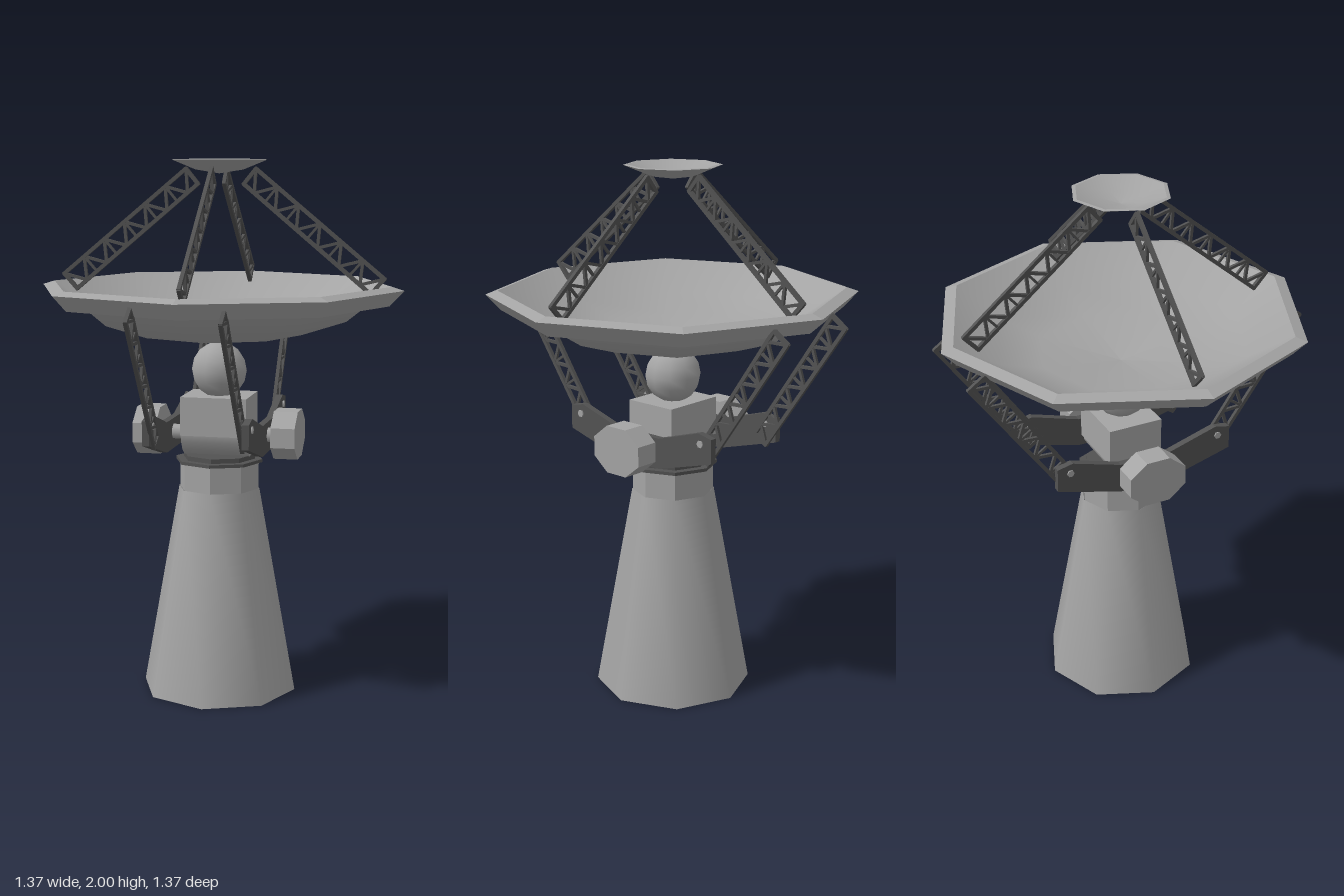
import * as THREE from 'three';
import { mergeGeometries } from 'three/addons/utils/BufferGeometryUtils.js';

const light = new THREE.MeshStandardMaterial({ color: 0xa4a4a4, side: THREE.DoubleSide });
light.name = 'light grey';
const dark = new THREE.MeshStandardMaterial({ color: 0x525252 });
dark.name = 'dark grey';

// Gives every face its own flat normal
function facet(geometry) {
  const g = geometry.index ? geometry.toNonIndexed() : geometry;
  g.computeVertexNormals();
  return g;
}

// Eight-sided revolved surface, profile as [radius, height] pairs
function lathe(profile) {
  return new THREE.LatheGeometry(profile.map(([r, y]) => new THREE.Vector2(r, y)), 8);
}

// Square bar between two points of the XY plane
function bar(a, b, thick) {
  const g = new THREE.BoxGeometry(a.distanceTo(b) + thick * 0.6, thick, thick);
  g.rotateZ(Math.atan2(b.y - a.y, b.x - a.x));
  g.translate((a.x + b.x) / 2, (a.y + b.y) / 2, 0);
  return g;
}

// Flat lattice girder: two rails, end caps and a zigzag web
function trussGeometry(a0, a1, b0, b1, bays) {
  const [p0, p1, q0, q1] = [a0, a1, b0, b1].map(([x, y]) => new THREE.Vector2(x, y));
  const bars = [bar(p0, p1, 0.014), bar(q0, q1, 0.014), bar(p0, q0, 0.014), bar(p1, q1, 0.014)];
  for (let i = 0; i < bays; i++) {
    const p = p0.clone().lerp(p1, i / bays);
    const mid = q0.clone().lerp(q1, (i + 0.5) / bays);
    bars.push(bar(p, mid, 0.011), bar(mid, p0.clone().lerp(p1, (i + 1) / bays), 0.011));
    if (i > 0) bars.push(bar(p, q0.clone().lerp(q1, i / bays), 0.009));
  }
  return mergeGeometries(bars);
}

export function createModel() {
  const model = new THREE.Group();
  const add = (name, geometry, material, x = 0, y = 0, z = 0) => {
    const mesh = new THREE.Mesh(geometry, material);
    mesh.name = name;
    mesh.position.set(x, y, z);
    model.add(mesh);
    return mesh;
  };

  // Hollow tapering tower, faceted collar and turntable
  add('tower', lathe([[0.295, 0], [0.155, 0.78]]), light);
  add('collar', facet(new THREE.CylinderGeometry(0.152, 0.152, 0.105, 8)), light, 0, 0.83);
  add('turntable', facet(new THREE.CylinderGeometry(0.166, 0.166, 0.012, 8)), dark, 0, 0.886);
  add('turntableRing', facet(new THREE.CylinderGeometry(0.137, 0.137, 0.018, 8)), dark, 0, 0.9);

  // Gearbox: rounded drum with a box on top
  const drum = new THREE.CylinderGeometry(0.1, 0.1, 0.25, 16);
  drum.rotateZ(Math.PI / 2);
  add('gearDrum', drum, light, 0, 1);
  add('gearBox', new THREE.BoxGeometry(0.25, 0.145, 0.21), light, 0, 1.06);
  add('ballJoint', new THREE.SphereGeometry(0.105, 10, 8), light, 0, 1.225);

  // Axle and octagonal counterweights at both ends
  const axle = new THREE.CylinderGeometry(0.028, 0.028, 0.46, 8);
  axle.rotateZ(Math.PI / 2);
  add('axle', axle, light, 0, 0.985);
  const weight = new THREE.CylinderGeometry(0.096, 0.096, 0.09, 8);
  weight.rotateY(Math.PI / 8);
  weight.rotateZ(Math.PI / 2);
  weight.scale(1, 1, 1.25);
  for (const side of [-1, 1]) add('counterweight', facet(weight.clone()), light, side * 0.262, 0.993);

  // V-shaped cradle arms with pins, profile drawn as [z, y]
  const half = [[0.1, 0.92], [0.35, 0.99], [0.35, 1.08], [0.29, 1.093], [0.1, 1.035]];
  const outline = [...half, ...half.map(([z, y]) => [-z, y]).reverse()];
  const armShape = new THREE.Shape(outline.map(([z, y]) => new THREE.Vector2(z, y)));
  const armGeometry = new THREE.ExtrudeGeometry(armShape, { depth: 0.026, bevelEnabled: false });
  armGeometry.translate(0, 0, -0.013);
  armGeometry.rotateY(-Math.PI / 2);
  const pin = new THREE.CylinderGeometry(0.014, 0.014, 0.036, 6);
  pin.rotateZ(Math.PI / 2);

  // Lower girders from the arms up to the dish rim
  const lower = trussGeometry([0.3, 0.975], [0.645, 1.465], [0.248, 1.01], [0.588, 1.505], 6);
  for (const side of [-1, 1]) {
    add('cradleArm', armGeometry, dark, side * 0.182 - 0.008, 0);
    for (const end of [-1, 1]) {
      add('armPin', pin, light, side * 0.182 - 0.008, 1.055, end * 0.3);
      const truss = add('lowerTruss', lower, dark, side * 0.163 - 0.01, 0, end < 0 ? -0.01 : 0);
      truss.rotation.y = -end * Math.PI / 2;
    }
  }

  // Main dish: smooth bowl inside and out, faceted rim
  add('dishBack', lathe([[0, 1.325], [0.31, 1.362], [0.475, 1.415], [0.55, 1.475]]), light);
  add('dishRim', facet(lathe([[0.55, 1.475], [0.632, 1.475], [0.685, 1.532], [0.64, 1.546]])), light);
  add('dishInside', lathe([[0.64, 1.546], [0.475, 1.44], [0.31, 1.385], [0, 1.345]]), light);

  // Four girders carrying the small reflector
  const upper = trussGeometry([0.6, 1.573], [0.125, 1.965], [0.55, 1.518], [0.08, 1.91], 6);
  for (let i = 0; i < 4; i++) {
    add('upperTruss', upper, dark, i === 0 ? 0.012 : 0).rotation.y = i * Math.PI / 2;
  }

  // Small reflector at the focus
  add('reflectorBack', lathe([[0, 1.948], [0.09, 1.962], [0.18, 1.998]]), light);
  add('reflectorRim', facet(lathe([[0.18, 1.998], [0.166, 2]])), light);
  add('reflectorInside', lathe([[0.166, 2], [0.085, 1.968], [0, 1.955]]), light);

  return model;
}
